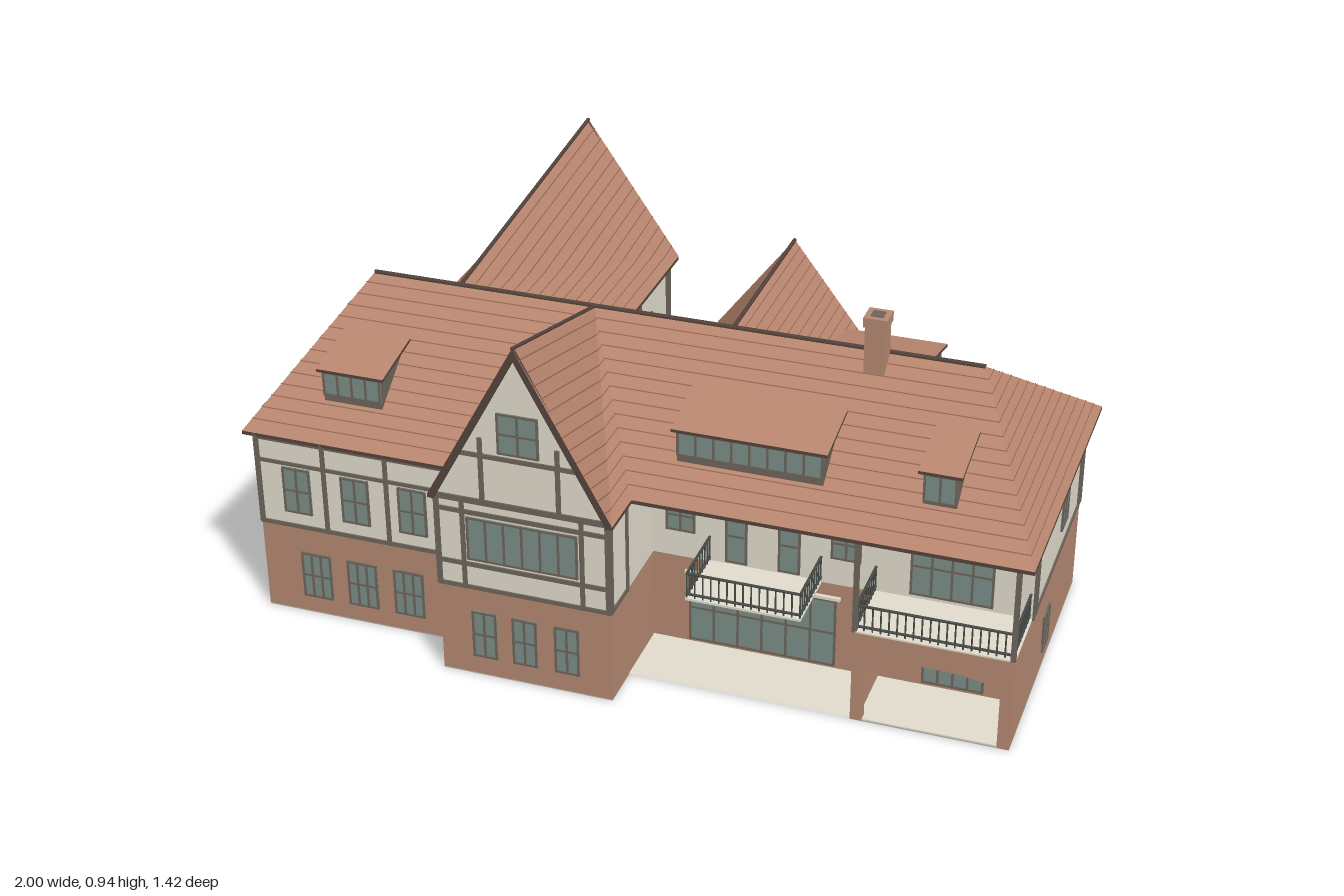
import * as THREE from 'three';

const M = (name, color, side = THREE.FrontSide) => {
  const m = new THREE.MeshStandardMaterial({ color, side });
  m.name = name;
  return m;
};

export function createModel() {
  const root = new THREE.Group();
  root.name = 'house';
  const roofTile = M('roofTile', 0xb9866f, THREE.DoubleSide);
  const tileShade = M('tileShade', 0x8c6050, THREE.DoubleSide);
  const brick = M('brick', 0xb48771);
  const plaster = M('plaster', 0xe0dbcc);
  const timber = M('timber', 0x6c655a);
  const trim = M('roofTrim', 0x54443c, THREE.DoubleSide);
  const glass = M('glass', 0x7b8d88);
  const iron = M('iron', 0x484c49);
  const base = M('base', 0xb5b2aa);

  const add = (name, geo, mat) => {
    const m = new THREE.Mesh(geo, mat);
    m.name = name;
    root.add(m);
    return m;
  };
  const box = (name, mat, x0, x1, y0, y1, z0, z1) => {
    const m = add(name, new THREE.BoxGeometry(Math.abs(x1 - x0), y1 - y0, Math.abs(z1 - z0)), mat);
    m.position.set((x0 + x1) / 2, (y0 + y1) / 2, (z0 + z1) / 2);
  };
  // thin plate on a wall; face is 'z+', 'z-', 'x+' or 'x-', d the wall plane
  const plate = (name, mat, face, d, u0, u1, y0, y1, t = 0.006) => {
    const e = d + (face[1] === '+' ? t : -t);
    if (face[0] === 'z') box(name, mat, u0, u1, y0, y1, d, e);
    else box(name, mat, d, e, y0, y1, u0, u1);
  };
  const windowAt = (face, d, u0, u1, y0, y1, cols = 2, rows = 2, b = 0.0055) => {
    plate('windowGlass', glass, face, d, u0, u1, y0, y1, 0.003);
    for (let i = 0; i <= cols; i++) {
      const u = u0 + (u1 - u0 - b) * i / cols;
      plate('windowFrame', timber, face, d, u, u + b, y0, y1);
    }
    for (let i = 0; i <= rows; i++) {
      const y = y0 + (y1 - y0 - b) * i / rows;
      plate('windowFrame', timber, face, d, u0, u1, y, y + b, 0.0055);
    }
  };
  const timberWall = (face, d, u0, u1, posts = []) => {
    plate('wallRail', timber, face, d, u0, u1, 0.25, 0.261, 0.004);
    plate('wallRail', timber, face, d, u0, u1, 0.494, 0.51, 0.004);
    for (const p of [u0 + 0.005, u1 - 0.005, ...posts])
      plate('wallPost', timber, face, d, p - 0.0055, p + 0.0055, 0.25, 0.51, 0.005);
  };
  const shapeOf = pts => new THREE.Shape(pts.map(p => new THREE.Vector2(...p)));
  const extrude = (name, mat, shape, depth, z) =>
    add(name, new THREE.ExtrudeGeometry(shape, { depth, bevelEnabled: false }), mat).position.z = z;

  // roof plane with thickness: tiled faces, dark edges
  const slab = (name, pts, t = 0.01) => {
    let p = pts.map(a => new THREE.Vector3(...a));
    const n = p[1].clone().sub(p[0]).cross(p[2].clone().sub(p[0]));
    if (n.y < 0) p = [p[0], ...p.slice(1).reverse()];
    const low = p.map(v => v.clone().setY(v.y - t));
    const faces = [], edges = [];
    for (let i = 1; i < p.length - 1; i++)
      faces.push(p[0], p[i], p[i + 1], low[0], low[i + 1], low[i]);
    p.forEach((v, i) => {
      const j = (i + 1) % p.length;
      edges.push(v, low[i], low[j], v, low[j], p[j]);
    });
    const g = new THREE.BufferGeometry().setFromPoints([...faces, ...edges]);
    g.addGroup(0, faces.length, 0);
    g.addGroup(faces.length, edges.length, 1);
    g.computeVertexNormals();
    add(name, g, [roofTile, trim]);
  };
  // fine shaded tile courses following a slope [ridge0, eave0, eave1, ridge1]
  const courses = (pts, rows = 14) => {
    const [r0, e0, e1, r1] = pts.map(a => new THREE.Vector3(a[0], a[1] + 0.002, a[2]));
    const out = [], w = 0.006;
    for (let i = 1; i < rows; i++) {
      const t = i / rows;
      const at = k => [e0.clone().lerp(r0, k), e1.clone().lerp(r0, k), e1.clone().lerp(r1, k)];
      const a = at(t), b = at(t + w);
      for (let k = 0; k < 2; k++) out.push(a[k], a[k + 1], b[k + 1], a[k], b[k + 1], b[k]);
    }
    const g = new THREE.BufferGeometry().setFromPoints(out);
    g.computeVertexNormals();
    add('tileCourses', g, tileShade);
  };
  const slope = (name, pts) => { slab(name, pts); courses(pts); };
  const bar = (name, mat, p, q, r) => {
    const a = new THREE.Vector3(...p), b = new THREE.Vector3(...q);
    const m = add(name, new THREE.CylinderGeometry(r, r, a.distanceTo(b), 6), mat);
    m.position.copy(a).lerp(b, 0.5);
    m.quaternion.setFromUnitVectors(new THREE.Vector3(0, 1, 0), b.sub(a).normalize());
  };

  // house blocks: base, brick ground floor, plaster upper floor
  for (const [x0, x1, z0, z1] of [[-0.97, -0.2, -0.19, 0.575], [-0.2, 0.97, -0.19, 0.39],
    [-0.43, 0.015, 0, 0.69], [-0.81, -0.32, -0.685, 0], [-0.05, 0.36, -0.295, 0]]) {
    box('base', base, x0, x1, 0, 0.003, z0, z1);
    box('brickWall', brick, x0, x1, 0.003, 0.25, z0, z1);
    box('plasterWall', plaster, x0, x1, 0.25, 0.51, z0, z1);
  }

  // arched porch under the corner balcony
  const arch = shapeOf([[0.58, 0], [0.61, 0], [0.61, 0.155]]);
  arch.absellipse(0.775, 0.155, 0.165, 0.035, Math.PI, 0, true);
  for (const p of [[0.94, 0], [0.97, 0], [0.97, 0.25], [0.58, 0.25]]) arch.lineTo(...p);
  extrude('porchArch', brick, arch, 0.02, 0.555);
  box('porchSide', brick, 0.95, 0.97, 0, 0.25, 0.39, 0.556);
  box('porchSide', brick, 0.58, 0.6, 0, 0.25, 0.39, 0.556);
  box('base', base, 0.6, 0.95, 0, 0.003, 0.39, 0.575);
  box('porchFloor', plaster, 0.6, 0.95, 0.003, 0.006, 0.39, 0.574);
  box('balconyFloor', plaster, 0.58, 0.97, 0.245, 0.254, 0.39, 0.574);
  box('middleBalcony', plaster, 0.16, 0.45, 0.248, 0.254, 0.39, 0.57);
  plate('lintel', plaster, 'z+', 0.39, 0.1, 0.5, 0.207, 0.215, 0.01);
  box('eaveSoffit', plaster, 0.015, 0.97, 0.498, 0.505, 0.39, 0.575);
  for (const x of [0.583, 0.964]) box('balconyPost', timber, x - 0.006, x + 0.006, 0.25, 0.5, 0.562, 0.574);

  // paved terrace between gable and porch, seen from above only
  const terrace = add('terrace', new THREE.PlaneGeometry(0.565, 0.185).rotateX(-Math.PI / 2), plaster);
  terrace.position.set(0.2975, 0.004, 0.4825);

  // railings
  const railing = (x0, z0, x1, z1) => {
    const n = Math.round(Math.hypot(x1 - x0, z1 - z0) / 0.02);
    for (const y of [0.264, 0.322]) bar('handrail', iron, [x0, y, z0], [x1, y, z1], 0.0035);
    for (let i = 0; i <= n; i++) {
      const x = x0 + (x1 - x0) * i / n, z = z0 + (z1 - z0) * i / n;
      bar('baluster', iron, [x, 0.25, z], [x, 0.322, z], 0.0022);
    }
  };
  for (const [x0, x1] of [[0.163, 0.447], [0.585, 0.963]]) {
    railing(x0, 0.565, x1, 0.565);
    railing(x0, 0.39, x0, 0.565);
    railing(x1, 0.39, x1, 0.565);
  }

  // hipped main roof
  const A = [-1, 0.51, 0.58], B = [1, 0.51, 0.58], C = [1, 0.51, -0.23], D = [-1, 0.51, -0.23];
  const L = [-0.8, 0.8, 0.19], R = [0.78, 0.8, 0.19];
  slope('frontRoof', [L, A, B, R]);
  slope('backRoof', [R, C, D, L]);
  slope('rightHip', [R, B, C, R]);
  slope('leftHip', [L, D, A, L]);
  bar('ridge', trim, L, R, 0.006);

  // cross gables: roof, gable wall, bargeboards and ridge
  const gable = (x0, x1, w0, w1, zEave, zEnd, zWall, top) => {
    const xc = (x0 + x1) / 2, s = Math.sign(zEnd);
    const back = [xc, 0.8, 0.19], peak = [xc, top, zEnd];
    for (const x of [x0, x1]) slope('gableRoof', [back, [x, 0.51, zEave], [x, 0.51, zEnd], peak]);
    bar('ridge', trim, back, peak, 0.005);
    extrude('gableWall', plaster, shapeOf([[w0, 0.505], [w1, 0.505], [xc, top - 0.025]]), 0.02, s > 0 ? zWall - 0.02 : zWall);
    extrude('bargeboard', trim, shapeOf([[x0, 0.503], [xc, top], [x1, 0.503], [x1 - 0.015, 0.5],
      [xc, top - 0.034], [x0 + 0.015, 0.5]]), 0.01, s > 0 ? zEnd - 0.01 : zEnd);
  };
  gable(-0.44, 0.03, -0.43, 0.015, 0.58, 0.71, 0.69, 0.94);
  gable(-0.83, -0.3, -0.81, -0.32, -0.23, -0.71, -0.685, 0.893);
  gable(-0.07, 0.38, -0.05, 0.36, -0.23, -0.325, -0.295, 0.804);

  // shed dormers
  const dormer = (x0, x1, zf, zb, yLow, cols) => {
    const s = Math.sign(zf - zb), a = x0 + 0.012, b = x1 - 0.012;
    const g = new THREE.ExtrudeGeometry(shapeOf([[zf, yLow - 0.02], [zf, 0.665], [zb, 0.695], [zb, 0.66]]),
      { depth: b - a, bevelEnabled: false });
    g.rotateY(-Math.PI / 2).translate(b, 0, 0);
    add('dormerBody', g, timber);
    slab('dormerRoof', [[x0, 0.672, zf + 0.012 * s], [x1, 0.672, zf + 0.012 * s], [x1, 0.705, zb], [x0, 0.705, zb]], 0.008);
    windowAt(s > 0 ? 'z+' : 'z-', zf, a, b, yLow, 0.664, cols, 1);
  };
  dormer(-0.825, -0.645, 0.485, 0.33, 0.598, 4);
  dormer(0.1, 0.485, 0.485, 0.33, 0.598, 8);
  dormer(0.7, 0.805, 0.485, 0.33, 0.588, 2);
  dormer(0.355, 0.615, -0.12, 0.015, 0.595, 5);

  // chimney
  box('chimney', brick, 0.497, 0.548, 0.74, 0.89, 0.193, 0.244);
  box('chimneyCap', brick, 0.493, 0.552, 0.885, 0.91, 0.189, 0.248);
  box('chimneyFlue', timber, 0.507, 0.538, 0.905, 0.912, 0.203, 0.234);

  // timber framing
  timberWall('z+', 0.575, -0.97, -0.43, [-0.785, -0.615, -0.455]);
  plate('wallRail', timber, 'z+', 0.575, -0.97, -0.43, 0.43, 0.44, 0.004);
  timberWall('z+', 0.69, -0.43, 0.015, [-0.36, -0.055]);
  for (const [y, h] of [[0.315, 0.22], [0.462, 0.22], [0.625, 0.15]])
    plate('gableRail', timber, 'z+', 0.69, -0.2075 - h, -0.2075 + h, y, y + 0.012, 0.004);
  for (const x of [-0.305, -0.11]) plate('gablePost', timber, 'z+', 0.69, x - 0.0055, x + 0.0055, 0.505, 0.68);
  timberWall('z-', -0.19, 0.36, 0.97, [0.74, 0.58]);
  timberWall('z-', -0.19, -0.32, -0.05);
  timberWall('z-', -0.19, -0.97, -0.81);
  timberWall('z-', -0.295, -0.05, 0.36, [0.09, 0.22]);
  timberWall('z-', -0.685, -0.81, -0.32, [-0.63, -0.5]);
  plate('gableRail', timber, 'z-', -0.295, 0.035, 0.275, 0.55, 0.561, 0.004);
  plate('gableRail', timber, 'z-', -0.685, -0.75, -0.38, 0.585, 0.596, 0.004);
  timberWall('x+', 0.97, -0.19, 0.39, [0.355, -0.155]);
  timberWall('x-', -0.97, -0.19, 0.575, [0.02, 0.33]);
  timberWall('x+', -0.32, -0.685, -0.19, [-0.66, -0.44]);
  timberWall('x-', -0.81, -0.685, -0.19, [-0.66, -0.44]);
  for (const [f, x] of [['x+', 0.36], ['x-', -0.05]]) timberWall(f, x, -0.295, -0.19);
  for (const [f, x] of [['x+', 0.015], ['x-', -0.43]]) timberWall(f, x, 0.575, 0.69);

  // front windows and doors
  for (const x of [-0.862, -0.702, -0.547]) windowAt('z+', 0.575, x - 0.038, x + 0.038, 0.295, 0.425);
  for (const x of [-0.825, -0.698, -0.57]) windowAt('z+', 0.575, x - 0.041, x + 0.041, 0.05, 0.18, 3, 2);
  for (const x of [-0.315, -0.21, -0.1]) windowAt('z+', 0.69, x - 0.032, x + 0.032, 0.055, 0.187);
  windowAt('z+', 0.69, -0.35, -0.065, 0.335, 0.455, 6, 1);
  windowAt('z+', 0.69, -0.26, -0.155, 0.645, 0.755, 2, 2);
  for (const x of [0.088, 0.51]) windowAt('z+', 0.39, x - 0.038, x + 0.038, 0.325, 0.415);
  for (const x of [0.232, 0.367]) windowAt('z+', 0.39, x - 0.028, x + 0.028, 0.26, 0.415, 1, 2);
  windowAt('z+', 0.39, 0.11, 0.49, 0.012, 0.205, 6, 2);
  windowAt('z+', 0.39, 0.67, 0.875, 0.265, 0.43, 4, 2);
  windowAt('z+', 0.39, 0.71, 0.865, 0.015, 0.18, 4, 2);

  // back windows
  for (const x of [0.825, 0.66, 0.5, -0.19, -0.895]) {
    windowAt('z-', -0.19, x - 0.036, x + 0.036, 0.3, 0.425);
    windowAt('z-', -0.19, x - 0.036, x + 0.036, 0.05, 0.17);
  }
  windowAt('z-', -0.295, 0.12, 0.19, 0.275, 0.45, 2, 3);
  windowAt('z-', -0.295, 0.12, 0.19, 0.575, 0.665);
  windowAt('z-', -0.295, 0.12, 0.19, 0.03, 0.185, 2, 3);
  windowAt('z-', -0.685, -0.606, -0.524, 0.268, 0.45, 2, 3);
  windowAt('z-', -0.685, -0.604, -0.526, 0.615, 0.715);

  // side windows
  for (const [f, x, up, lo] of [['x+', 0.97, 0.045, 0.2], ['x-', -0.97, 0.17, 0.26]]) {
    windowAt(f, x, up - 0.036, up + 0.036, 0.315, 0.42);
    windowAt(f, x, lo - 0.034, lo + 0.034, 0.055, 0.16);
  }
  for (const [f, x] of [['x+', -0.32], ['x-', -0.81]])
    for (const z of [-0.495, -0.31]) windowAt(f, x, z - 0.035, z + 0.035, 0.31, 0.42);

  return root;
}
